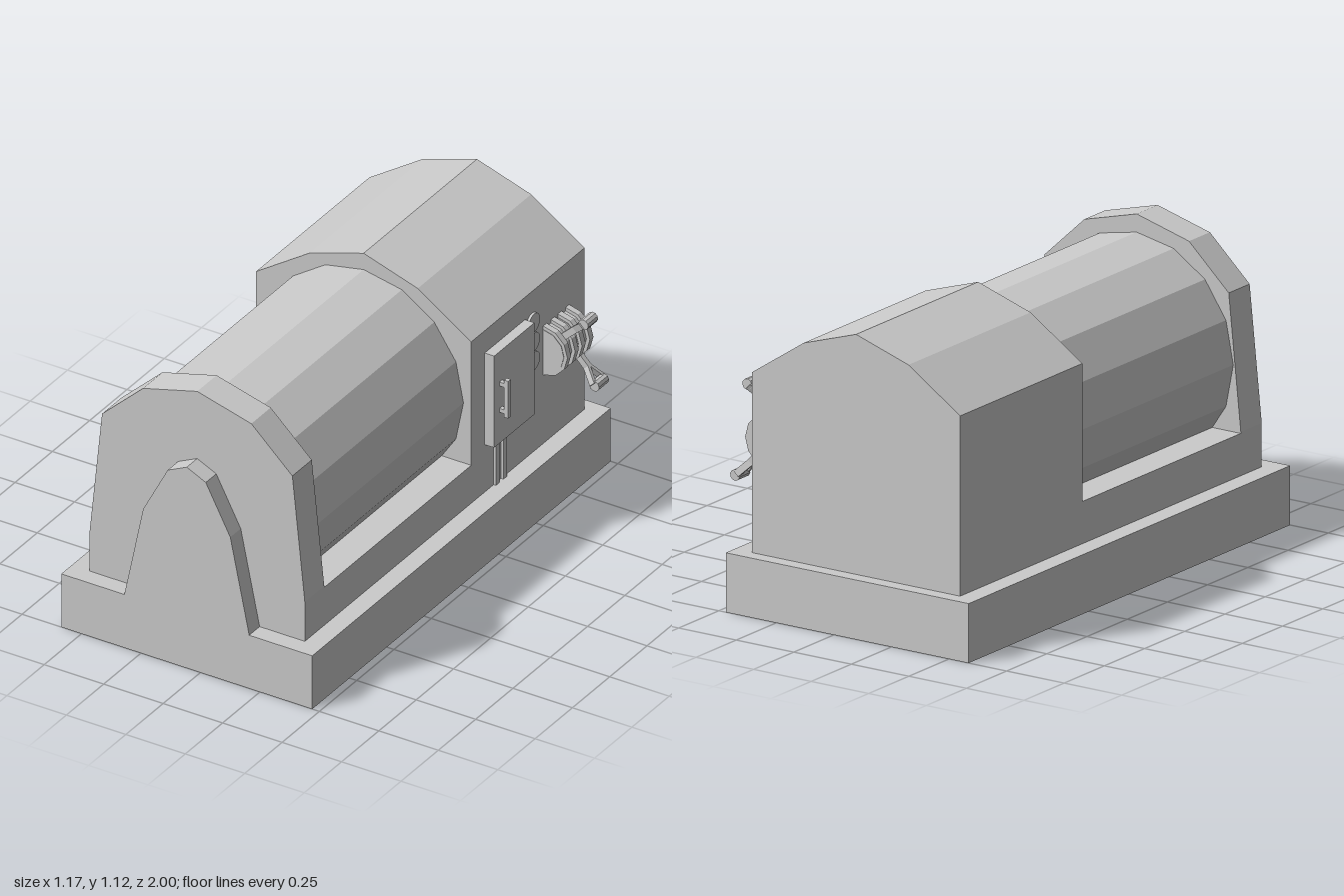
import * as THREE from 'three';

const CX = -0.0575; // centre line of the machine body
const SIDE = 0.395; // right wall that carries the controls

export function createModel() {
  const model = new THREE.Group();
  const mat = new THREE.MeshStandardMaterial({ color: 0xcccccc, flatShading: true });

  const add = (name, geometry, parent = model) => {
    const mesh = new THREE.Mesh(geometry, mat);
    mesh.name = name;
    parent.add(mesh);
    return mesh;
  };
  // box given by its limits
  const box = (name, x0, x1, y0, y1, z0, z1, parent) => {
    const mesh = add(name, new THREE.BoxGeometry(x1 - x0, y1 - y0, z1 - z0), parent);
    mesh.position.set((x0 + x1) / 2, (y0 + y1) / 2, (z0 + z1) / 2);
    return mesh;
  };
  // symmetric profile [half width, y] from bottom to peak, extruded along z
  const arch = (name, half, z0, z1) => {
    const right = half.map(([w, y]) => new THREE.Vector2(CX + w, y));
    const left = half.filter(([w]) => w > 0).reverse().map(([w, y]) => new THREE.Vector2(CX - w, y));
    const geometry = new THREE.ExtrudeGeometry(new THREE.Shape([...right, ...left]), { depth: z1 - z0, bevelEnabled: false });
    add(name, geometry.translate(0, 0, z0));
  };

  // base, cradle and housings
  box('base', -0.585, 0.47, 0, 0.222, -1, 1);
  box('cradle', CX - 0.4525, CX + 0.4525, 0.222, 0.38, -0.185, 0.8);
  arch('rearHousing', [[0.4525, 0.222], [0.4525, 0.895], [0.2275, 1.045], [0, 1.118]], -0.945, -0.185);
  arch('frontHousing', [[0.4525, 0.222], [0.4525, 0.385], [0.4, 0.895], [0.2275, 1.057], [0, 1.118]], 0.8, 0.93);
  arch('frontBoss', [[0.2625, 0.222], [0.183, 0.605], [0.08, 0.8], [0, 0.838]], 0.93, 1);

  // sixteen-sided drum lying along z
  const drum = add('drum', new THREE.CylinderGeometry(0.42, 0.42, 0.985, 16));
  drum.rotation.x = Math.PI / 2;
  drum.position.set(CX, 0.63, 0.3075);

  // control cabinet with handle and conduits
  box('cabinet', SIDE, 0.435, 0.42, 0.802, -0.545, -0.275);
  const handle = new THREE.Group();
  handle.name = 'cabinetHandle';
  model.add(handle);
  box('handleGrip', 0.455, 0.472, 0.535, 0.69, -0.328, -0.31, handle);
  for (const y of [0.55, 0.66]) box('handlePost', 0.435, 0.457, y, y + 0.016, -0.328, -0.31, handle);
  for (const z of [-0.36, -0.41]) box('conduit', SIDE - 0.005, 0.405, 0.222, 0.425, z, z + 0.025);

  // round gauges
  for (const y of [0.607, 0.687, 0.767]) {
    const gauge = add('gauge', new THREE.CylinderGeometry(0.038, 0.038, 0.02, 24));
    gauge.rotation.z = Math.PI / 2;
    gauge.position.set(SIDE, y, -0.592);
  }

  // levers: ribbed half-round hub, shaft, forked neck and cross grip
  const lever = (z, angle, reach) => {
    const group = new THREE.Group();
    group.name = 'lever';
    group.position.set(SIDE, 0.61, z);
    model.add(group);
    const halfRound = (name, r, width, dz) => {
      const hub = add(name, new THREE.CylinderGeometry(r, r, width, 6, 1, false, 0, Math.PI), group);
      hub.rotation.x = Math.PI / 2;
      hub.position.z = dz;
    };
    halfRound('hubCore', 0.088, 0.08, 0);
    for (const s of [-1, 1]) halfRound('hubRib', 0.102, 0.024, s * 0.026);

    const arm = new THREE.Group();
    arm.name = 'leverArm';
    arm.rotation.z = angle;
    group.add(arm);
    box('shaft', 0.06, reach - 0.07, -0.013, 0.013, -0.01, 0.01, arm);
    for (const s of [-1, 1]) {
      const prong = add('prong', new THREE.BoxGeometry(0.078, 0.026, 0.012), arm);
      prong.position.set(reach - 0.043, 0, s * 0.016);
      prong.rotation.y = -s * 0.42;
    }
    const grip = add('grip', new THREE.CylinderGeometry(0.021, 0.021, 0.066, 10), arm);
    grip.rotation.x = Math.PI / 2;
    grip.position.x = reach;
  };
  lever(-0.705, 0.76, 0.228);
  lever(-0.803, -0.8, 0.215);

  return model;
}
